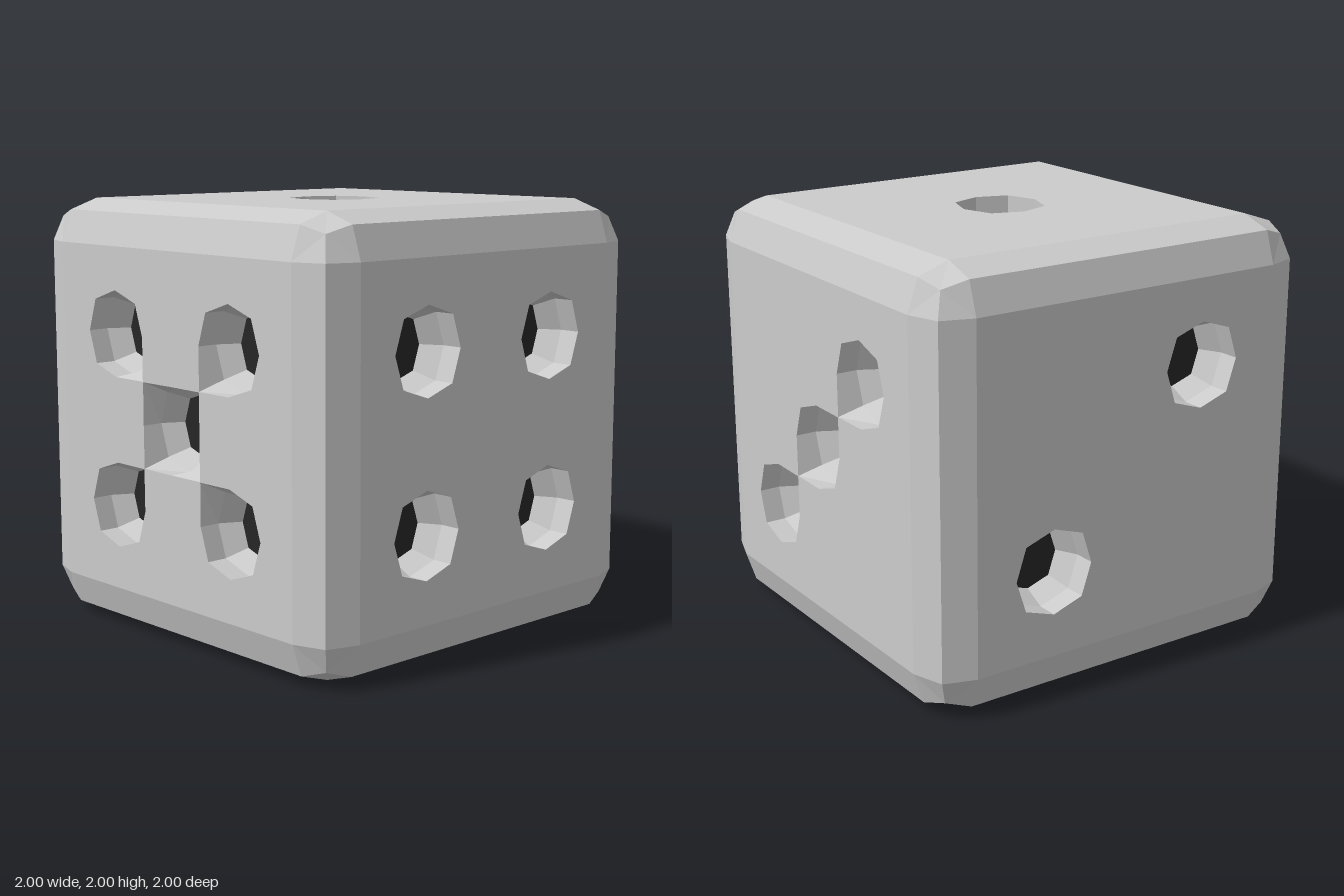
import * as THREE from 'three';

const grey = new THREE.MeshStandardMaterial({ color: 0xcccccc, flatShading: true });
const dark = new THREE.MeshStandardMaterial({ color: 0x262626, flatShading: true });

// Flat-shaded geometry from counter-clockwise quads of [x, y, z] corners
function quadGeometry(quads) {
  const pos = quads.flatMap(([a, b, c, d]) => [a, b, c, a, c, d].flat());
  const geo = new THREE.BufferGeometry();
  geo.setAttribute('position', new THREE.Float32BufferAttribute(pos, 3));
  geo.computeVertexNormals();
  return geo;
}

function addMesh(parent, name, geo, mat) {
  const mesh = new THREE.Mesh(geo, mat);
  mesh.name = name;
  parent.add(mesh);
  return mesh;
}

const toVectors = (points) => points.map(([x, y]) => new THREE.Vector2(x, y));

// Eight-sided pip outline; corners listed in "joined" are pulled out to touch a neighbour.
// A stretch above zero makes a long slot along y.
function outline({ x, y, stretch = 0, joined = [] }, scale = 1) {
  const points = [];
  const add = (k, shift) => {
    const a = (k * Math.PI) / 4;
    const axis = k % 2 === 0;
    const reach = axis ? 0.2 : joined.includes((k - 1) / 2) ? 0.199 : 0.15;
    points.push([
      x + scale * reach * Math.sign(Math.round(Math.cos(a) * 10)),
      y + shift + scale * reach * Math.sign(Math.round(Math.sin(a) * 10)),
    ]);
  };
  if (stretch) {
    for (let k = 0; k <= 4; k++) add(k, stretch);
    for (let k = 4; k <= 8; k++) add(k, -stretch);
  } else {
    for (let k = 0; k < 8; k++) add(k, 0);
  }
  return points;
}

// Pit: upright wall, sloping wall, dark floor
function addPit(side, pip) {
  const plain = { ...pip, joined: [] };
  const floor = outline(plain, 0.75);
  const loops = [[outline(pip), 1], [outline(plain), 0.9], [floor, 0.8]]
    .map(([pts, z]) => pts.map(([x, y]) => [x, y, z]));
  const quads = [];
  for (let l = 0; l < 2; l++) {
    loops[l].forEach((p, i) => {
      const j = (i + 1) % loops[l].length;
      quads.push([p, loops[l][j], loops[l + 1][j], loops[l + 1][i]]);
    });
  }
  addMesh(side, 'pipWall', quadGeometry(quads), grey);
  const floorGeo = new THREE.ShapeGeometry(new THREE.Shape(toVectors(floor)));
  addMesh(side, 'pipFloor', floorGeo.translate(0, 0, 0.8), dark);
}

// One side of the cube, facing +z before it is turned
function makeSide(name, pips) {
  const side = new THREE.Group();
  side.name = name;

  // flat plate with a hole for each pip
  const plate = new THREE.Shape(toVectors([[-0.8, -0.8], [0.8, -0.8], [0.8, 0.8], [-0.8, 0.8]]));
  pips.forEach((pip) => plate.holes.push(new THREE.Path(toVectors(outline(pip)))));
  addMesh(side, 'plate', new THREE.ShapeGeometry(plate).translate(0, 0, 1), grey);

  // bevelled strip and corner, repeated around the plate
  const s = 0.8, e = 0.95, c = 0.915;
  const bevel = quadGeometry([
    [[s, -s, 1], [e, -s, e], [e, s, e], [s, s, 1]],
    [[s, s, 1], [e, s, e], [c, c, c], [s, e, e]],
  ]);
  for (let i = 0; i < 4; i++) {
    addMesh(side, 'bevel', bevel, grey).rotation.z = (i * Math.PI) / 2;
  }

  pips.forEach((pip) => addPit(side, pip));
  return side;
}

export function createModel() {
  const model = new THREE.Group();
  model.name = 'die';
  const q = 0.4;
  const H = Math.PI / 2;
  // joined corners: 0 upper right, 1 upper left, 2 lower left, 3 lower right
  const pip = (x, y, ...joined) => ({ x, y, joined });
  const slot = (x) => ({ x, y: 0, stretch: q });

  const sides = [
    ['frontFour', 0, 0, [pip(q, q), pip(-q, q), pip(-q, -q), pip(q, -q)]],
    ['rightThree', 0, H, [pip(q, q, 2), pip(0, 0, 0, 2), pip(-q, -q, 0)]],
    ['backTwo', 0, 2 * H, [pip(q, q), pip(-q, -q)]],
    ['leftFive', 0, -H,
      [pip(q, q, 2), pip(-q, q, 3), pip(0, 0, 0, 1, 2, 3), pip(-q, -q, 0), pip(q, -q, 1)]],
    ['topOne', -H, 0, [pip(0, 0)]],
    ['bottomSix', H, 0, [slot(-q), slot(q)]],
  ];
  sides.forEach(([name, rx, ry, pips]) => {
    const side = makeSide(name, pips);
    side.rotation.set(rx, ry, 0);
    side.position.y = 1;
    model.add(side);
  });
  return model;
}
